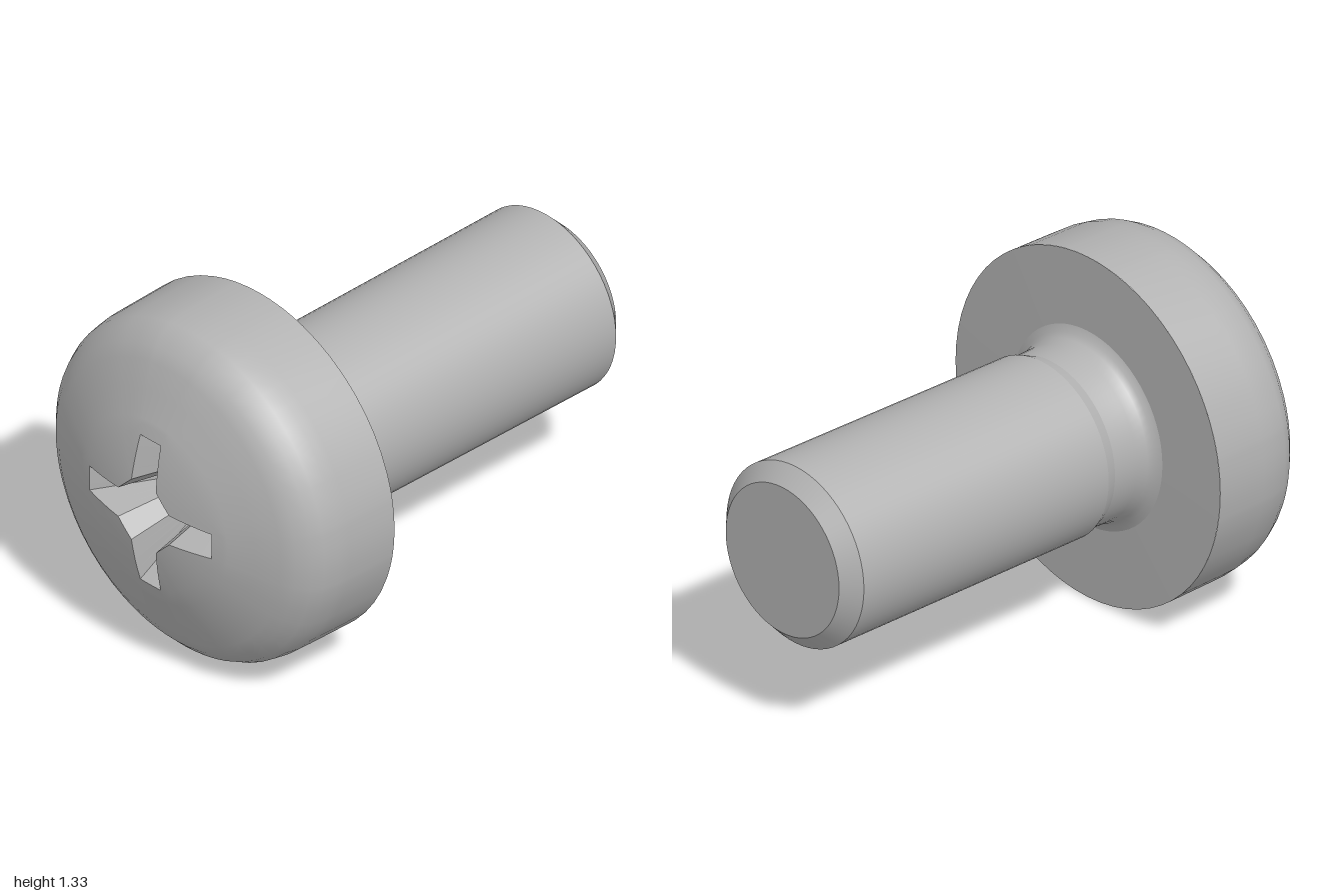
import * as THREE from 'three';

const AXIS_Y = 0.667;

// Surface through closed rings listed from the centre outwards, facing -x
function loft(rings, flat) {
  const n = rings[0].length, pos = [], idx = [];
  rings.forEach(ring => ring.forEach(p => pos.push(...p)));
  for (let i = 0; i < rings.length - 1; i++) {
    for (let j = 0; j < n; j++) {
      const k = (j + 1) % n;
      const a = i * n + j, b = a + n, c = (i + 1) * n + k, d = i * n + k;
      idx.push(a, c, b, a, d, c);
    }
  }
  let geo = new THREE.BufferGeometry();
  geo.setAttribute('position', new THREE.Float32BufferAttribute(pos, 3));
  geo.setIndex(idx);
  if (flat) geo = geo.toNonIndexed();
  geo.computeVertexNormals();
  return geo;
}

// Cross outline in the y-z plane: arm length, half width at tip, half width at root, root distance
function crossOutline(len, tip, root, inner) {
  const corners = [[len, -tip], [len, tip], [inner, root], [root, inner], [tip, len]];
  const steps = [4, 4, 6, 4];
  const out = [];
  for (let q = 0; q < 4; q++) {
    const c = Math.round(Math.cos(q * Math.PI / 2)), s = Math.round(Math.sin(q * Math.PI / 2));
    steps.forEach((count, e) => {
      for (let k = 0; k < count; k++) {
        const t = k / count;
        const u = THREE.MathUtils.lerp(corners[e][0], corners[e + 1][0], t);
        const v = THREE.MathUtils.lerp(corners[e][1], corners[e + 1][1], t);
        out.push([u * c - v * s, u * s + v * c]);
      }
    });
  }
  return out;
}

export function createModel() {
  const steel = new THREE.MeshStandardMaterial({ color: 0xb2b2b2 });
  steel.name = 'steel grey';
  const screw = new THREE.Group();
  screw.name = 'screw';
  screw.position.y = AXIS_Y;

  const add = (name, geo, parent) => {
    const mesh = new THREE.Mesh(geo, steel);
    mesh.name = name;
    parent.add(mesh);
  };
  // Turned part along x from [x, radius] pairs; the axis drifts slightly towards the tip
  const turned = (name, profile, parent) => {
    const geo = new THREE.LatheGeometry(profile.map(([x, r]) => new THREE.Vector2(r, x)), 64);
    geo.rotateZ(-Math.PI / 2);
    const p = geo.attributes.position;
    for (let i = 0; i < p.count; i++) {
      const t = Math.max(0, (p.getX(i) + 0.2) / 1.2);
      p.setZ(i, p.getZ(i) + 0.012 * t);
      p.setY(i, p.getY(i) + 0.004 * t);
    }
    add(name, geo, parent);
  };

  const head = new THREE.Group();
  head.name = 'head';
  screw.add(head);

  // Domed head, starting at the rim of the cross recess
  const domeX = r => -1.005 + 0.46 * r * r;
  const outline = crossOutline(0.3, 0.05, 0.06, 0.125);
  const mouth = outline.map(([y, z]) => [domeX(Math.hypot(y, z)), y, z]);
  const circle = (x, r) => outline.map(([y, z]) => {
    const l = Math.hypot(y, z);
    return [x, y / l * r, z / l * r];
  });
  const domeRings = [mouth];
  for (const t of [0.35, 0.7, 1]) {
    domeRings.push(outline.map(([y, z]) => {
      const l = Math.hypot(y, z), r = THREE.MathUtils.lerp(l, 0.36, t);
      return [domeX(r), y / l * r, z / l * r];
    }));
  }
  const profile = [[-0.905, 0.455], [-0.87, 0.545], [-0.84, 0.59], [-0.8, 0.63],
    [-0.76, 0.65], [-0.7, 0.66], [-0.65, 0.662], [-0.437, 0.666]];
  profile.forEach(([x, r]) => domeRings.push(circle(x, r)));
  add('dome', loft(domeRings, false), head);

  // Cross recess, narrowing with depth
  const floor = crossOutline(0.13, 0.032, 0.036, 0.075).map(([y, z]) => [-0.7, y, z]);
  const centre = outline.map(() => [-0.66, 0, 0]);
  add('crossRecess', loft([centre, floor, mouth], true), head);

  // Flat underside of the head
  turned('headUnderside', [[-0.437, 0.666], [-0.432, 0.38]], head);

  // Shank with fillet, relief neck, body, chamfer and flat tip
  const shank = new THREE.Group();
  shank.name = 'shank';
  screw.add(shank);
  turned('neckFillet', [[-0.432, 0.38], [-0.42, 0.355], [-0.4, 0.34], [-0.36, 0.328], [-0.26, 0.324]], shank);
  turned('neckStep', [[-0.26, 0.324], [-0.215, 0.34]], shank);
  turned('shankBody', [[-0.215, 0.34], [0.94, 0.346]], shank);
  turned('tipChamfer', [[0.94, 0.346], [1, 0.285]], shank);
  turned('tipFace', [[1, 0.285], [1, 0]], shank);

  return screw;
}
